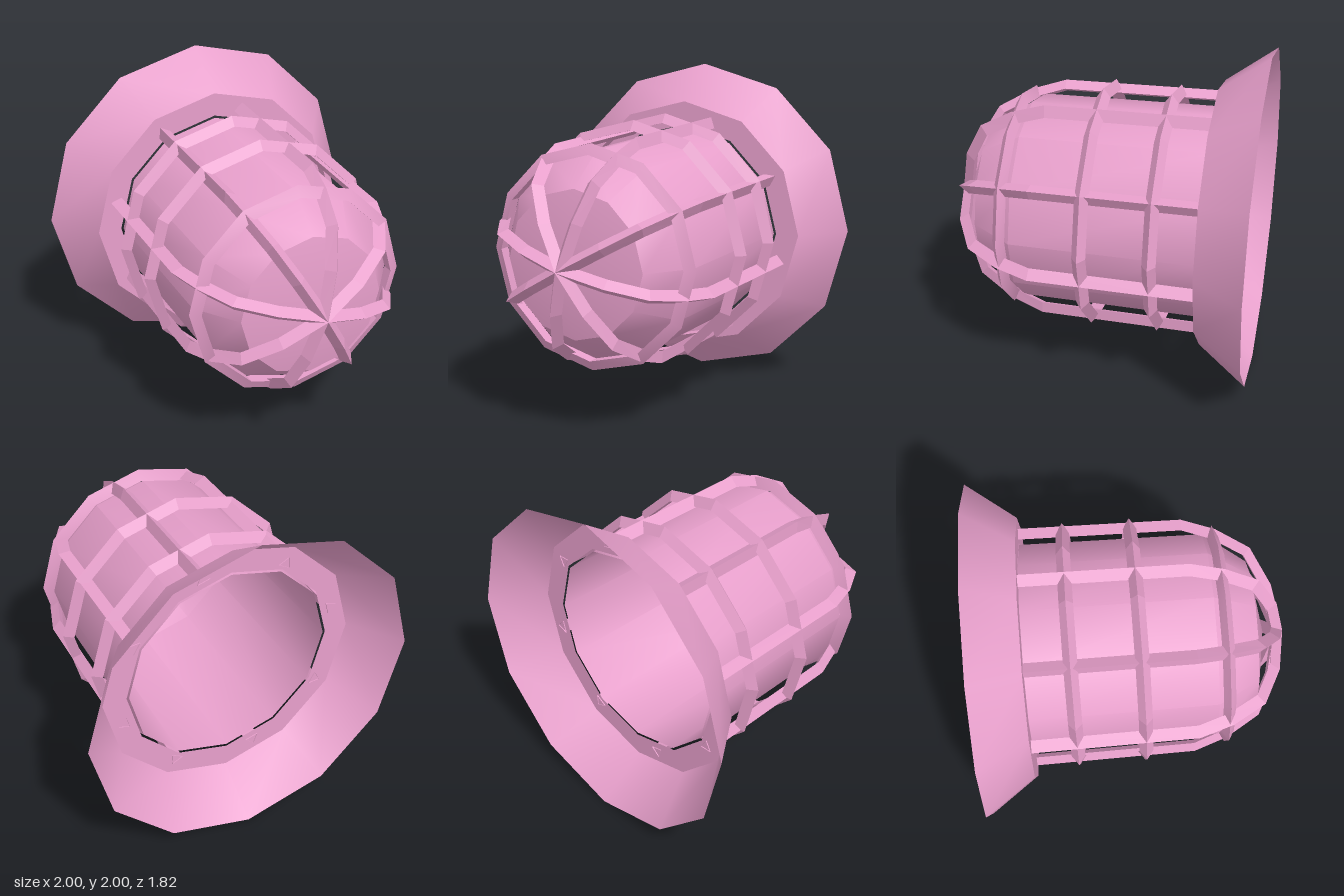
import * as THREE from 'three';
import { toCreasedNormals } from 'three/addons/utils/BufferGeometryUtils.js';

const SIDES = 12;
const material = new THREE.MeshStandardMaterial({ color: 0xe79fcb, side: THREE.DoubleSide });

// Revolves [radius, z] points around the lamp's front-to-back axis
function revolve(name, points, crease) {
  const profile = points.map(([r, z]) => new THREE.Vector2(r, z));
  const geometry = new THREE.LatheGeometry(profile, SIDES).rotateX(Math.PI / 2);
  const mesh = new THREE.Mesh(toCreasedNormals(geometry, crease), material);
  mesh.name = name;
  return mesh;
}

// Sweeps a triangle along a ridge path of [radius, z] points, edge outward
function barGeometry(path, halfWidth, depth) {
  const sections = path.map(([r, z], i) => {
    const [r0, z0] = path[Math.max(i - 1, 0)];
    const [r1, z1] = path[i + 1] ?? [-r0, z0];
    const length = Math.hypot(r1 - r0, z1 - z0);
    const qr = r - (depth * (z1 - z0)) / length;
    const qz = z + (depth * (r1 - r0)) / length;
    return [[r, 0, z], [qr, halfWidth, qz], [qr, -halfWidth, qz]];
  });
  const positions = [];
  for (let i = 0; i < sections.length - 1; i++) {
    for (let k = 0; k < 3; k++) {
      const a = sections[i][k], b = sections[i][(k + 1) % 3];
      const c = sections[i + 1][(k + 1) % 3], d = sections[i + 1][k];
      positions.push(...a, ...b, ...c, ...a, ...c, ...d);
    }
  }
  const geometry = new THREE.BufferGeometry();
  geometry.setAttribute('position', new THREE.Float32BufferAttribute(positions, 3));
  geometry.computeVertexNormals();
  return geometry;
}

export function createModel() {
  const model = new THREE.Group();
  model.name = 'cageLamp';
  const lamp = new THREE.Group();
  lamp.name = 'lampBody';
  lamp.position.y = 1;
  model.add(lamp);

  // Flared wall flange with a flat ring at its narrow end, open at the back
  lamp.add(revolve('flange', [[1, -0.91], [0.785, -0.62], [0.64, -0.62]], 0.6));

  // Hollow lens with a shallow pointed nose
  lamp.add(revolve('lens', [[0.625, -0.62], [0.61, 0.46], [0.43, 0.71], [0, 0.79]], 0.6));

  // Cage hoops with a triangular section: z, ridge radius, base radius, half width
  const hoops = [[-0.36, 0.735, 0.68, 0.04], [0.035, 0.735, 0.68, 0.04], [0.52, 0.657, 0.595, 0.035]];
  for (const [z, tip, base, half] of hoops) {
    lamp.add(revolve('cageHoop', [[base, z - half], [tip, z], [base, z + half], [base, z - half]], 0.3));
  }

  // Eight cage bars meeting at the front tip
  const path = [[0.72, -0.625], [0.705, 0.34], [0.635, 0.54], [0.51, 0.74], [0.28, 0.855], [0, 0.91]];
  const bar = barGeometry(path, 0.04, 0.06);
  for (let i = 0; i < 8; i++) {
    const mesh = new THREE.Mesh(bar, material);
    mesh.name = 'cageBar';
    mesh.rotation.z = Math.PI / 6 + (i * Math.PI) / 4;
    lamp.add(mesh);
  }
  return model;
}
